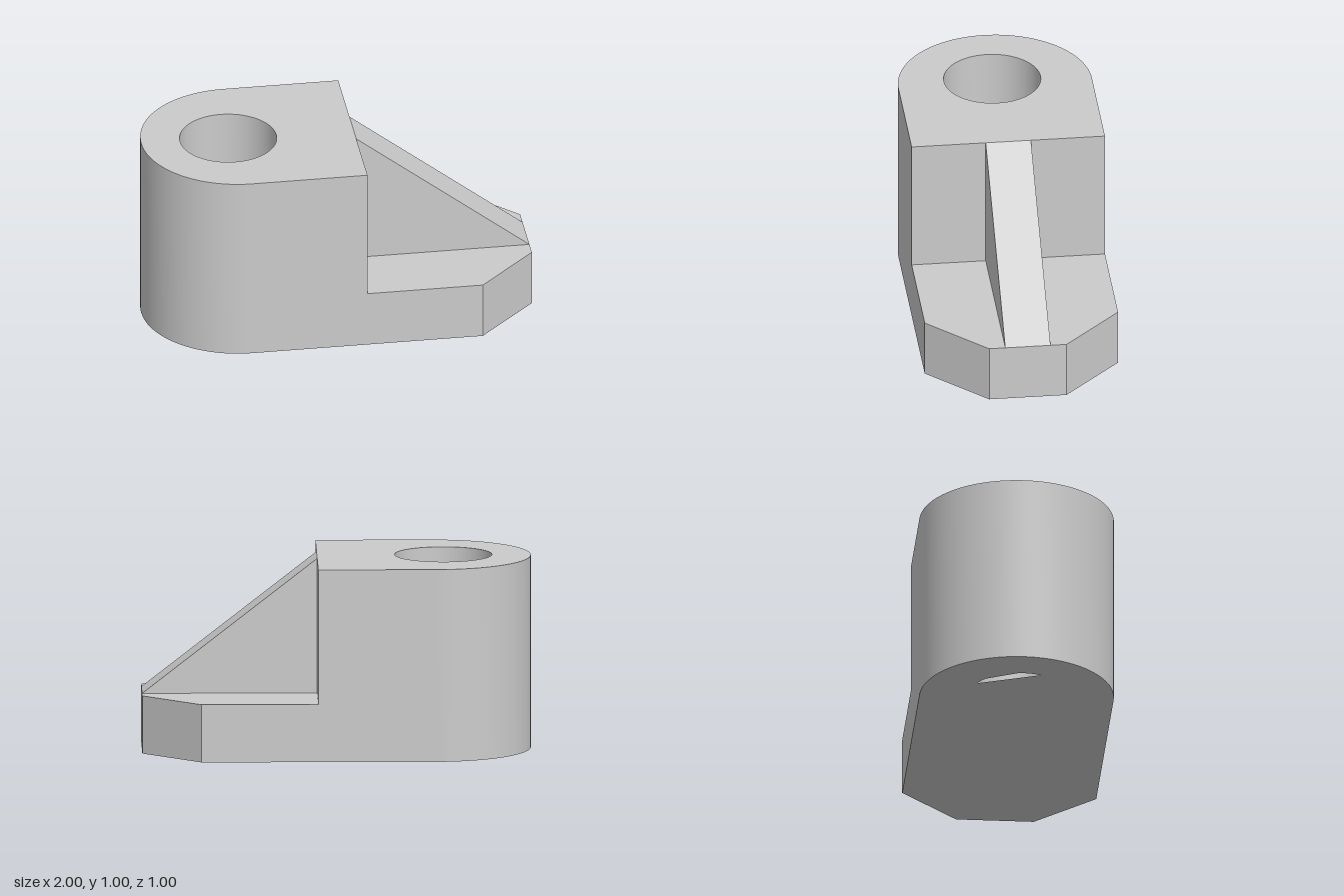
import * as THREE from 'three';
import { toCreasedNormals } from 'three/addons/utils/BufferGeometryUtils.js';

const BORE = { x: -0.55, z: 0.01, r: 0.25 };
const rad = THREE.MathUtils.degToRad;

// Plan shapes are drawn as (x, z) and extruded down from the top height
function slab(shape, top, curveSegments = 32) {
  const geo = new THREE.ExtrudeGeometry(shape, { depth: top, bevelEnabled: false, curveSegments });
  geo.rotateX(Math.PI / 2).translate(0, top, 0);
  return toCreasedNormals(geo, 0.4);
}

// Part of the bore's floor, cut off by the chord between two angles
function floorSegment(from, to) {
  const shape = new THREE.Shape();
  shape.absarc(BORE.x, BORE.z, BORE.r, rad(from), rad(to), false);
  return new THREE.ShapeGeometry(shape, 32).rotateX(Math.PI / 2);
}

export function createModel() {
  const group = new THREE.Group();
  const grey = new THREE.MeshStandardMaterial({ color: 0xcccccc });
  const thin = new THREE.MeshStandardMaterial({ color: 0xcccccc, side: THREE.DoubleSide });
  const add = (name, geometry, material = grey) => {
    const mesh = new THREE.Mesh(geometry, material);
    mesh.name = name;
    group.add(mesh);
  };

  // Round-ended tall block with the vertical bore
  const block = new THREE.Shape();
  block.moveTo(0.1, -0.5);
  block.lineTo(0.1, 0.5);
  block.lineTo(-0.5, 0.5);
  block.absarc(-0.5, 0, 0.5, Math.PI / 2, Math.PI * 1.5, false);
  block.closePath();
  const bore = new THREE.Path();
  bore.absarc(BORE.x, BORE.z, BORE.r, 0, Math.PI * 2, true);
  block.holes.push(bore);
  add('boredBlock', slab(block, 1));

  // Floor of the bore, leaving a narrow slit open
  add('boreFloor', floorSegment(243.9, 517.6), thin);
  add('boreFloorEdge', floorSegment(184.6, 227.4), thin);

  // Low foot with chamfered corners
  const foot = new THREE.Shape([
    [0.1, -0.5], [0.7, -0.5], [1, -0.2], [1, 0.2], [0.7, 0.5], [0.1, 0.5],
  ].map(([x, z]) => new THREE.Vector2(x, z)));
  add('foot', slab(foot, 0.3));

  // Triangular rib bracing the block against the foot
  const rib = new THREE.Shape([
    [0.1, 0.3], [1, 0.3], [0.1, 1],
  ].map(([x, y]) => new THREE.Vector2(x, y)));
  const ribWidth = 0.234;
  const ribGeo = new THREE.ExtrudeGeometry(rib, { depth: ribWidth, bevelEnabled: false });
  add('rib', ribGeo.translate(0, 0, -ribWidth / 2));

  return group;
}
